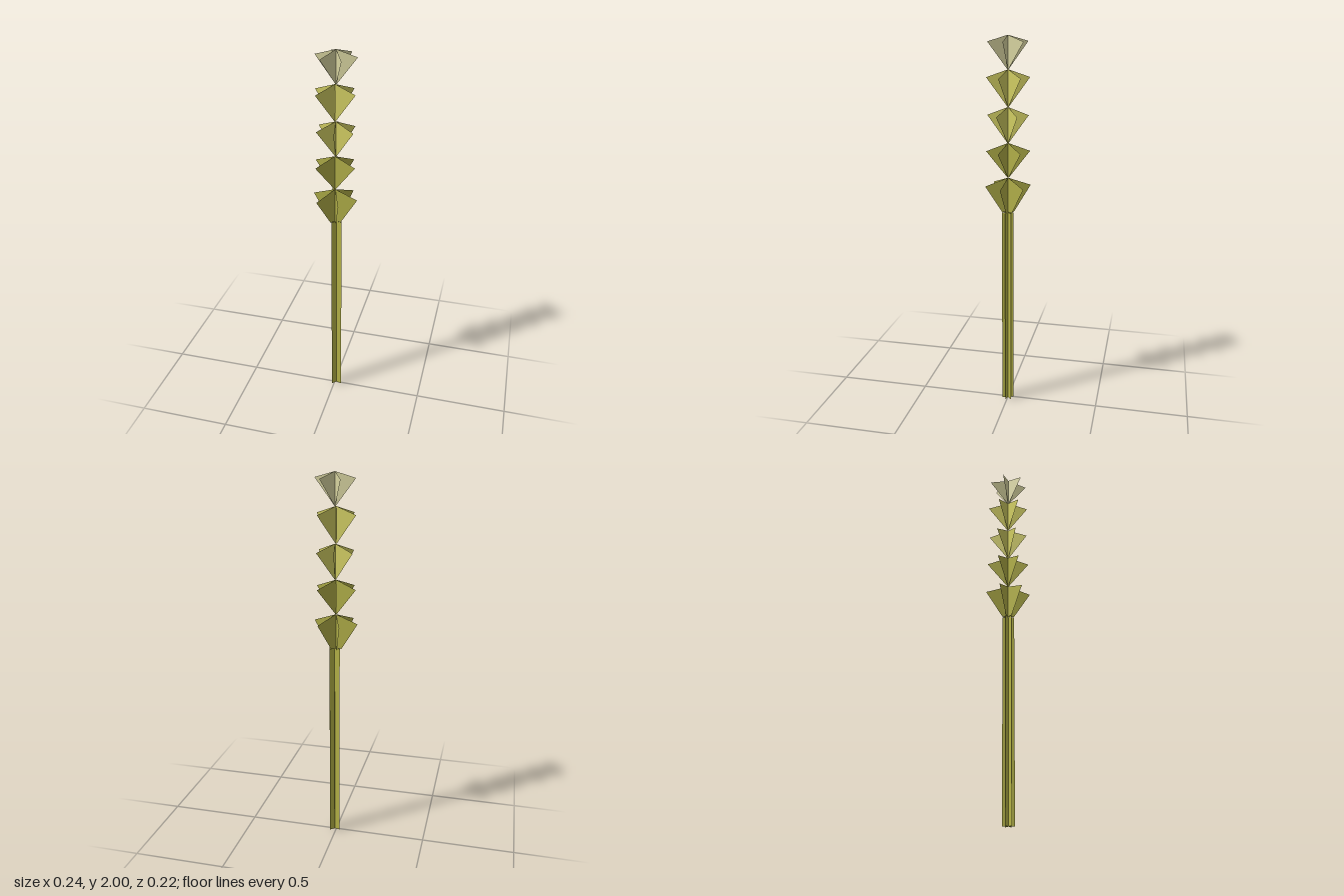
import * as THREE from 'three';

// Three flat cards crossing at 60 degrees around a vertical axis
function crossedCards(name, outline, color, phase, cx) {
  const group = new THREE.Group();
  group.name = name;
  const material = new THREE.MeshStandardMaterial({ color, side: THREE.DoubleSide, flatShading: true });
  const geometry = new THREE.ShapeGeometry(new THREE.Shape(outline.map(([x, y]) => new THREE.Vector2(x, y))));
  for (let i = 0; i < 3; i++) {
    const card = new THREE.Mesh(geometry, material);
    card.name = name + 'Card';
    // positive phase swings the +x edge towards +z
    card.rotation.y = -THREE.MathUtils.degToRad(phase + 60 * i);
    group.add(card);
  }
  group.position.x = cx;
  return group;
}

export function createModel() {
  const model = new THREE.Group();
  model.name = 'wheatStalk';

  // Straight stem
  const w = 0.031;
  model.add(crossedCards('stem', [[-w, 0], [w, 0], [w, 1.1], [-w, 1.1]], 0xb8b648, 15, 0.01));

  // Stacked kite-shaped grain tiers: bottom, shoulder, top, radius, half base width, phase, centre x, colour
  const tiers = [
    [1.10, 1.243, 1.285, 0.12, w, 8, 0.003, 0xb0ae48],
    [1.285, 1.425, 1.467, 0.113, 0.003, 15, 0.002, 0xb0ae48],
    [1.467, 1.61, 1.65, 0.105, 0.003, 22, 0.006, 0xd0cc62],
    [1.65, 1.797, 1.835, 0.11, 0.003, 14, 0.002, 0xd0cc62],
    [1.835, 1.97, 2.0, 0.105, 0.003, 2, 0.007, 0xd8d4a0],
  ];
  for (const [y0, y1, y2, r, b, phase, cx, color] of tiers) {
    model.add(crossedCards('grainTier', [[-b, y0], [b, y0], [r, y1], [0, y2], [-r, y1]], color, phase, cx));
  }
  return model;
}
